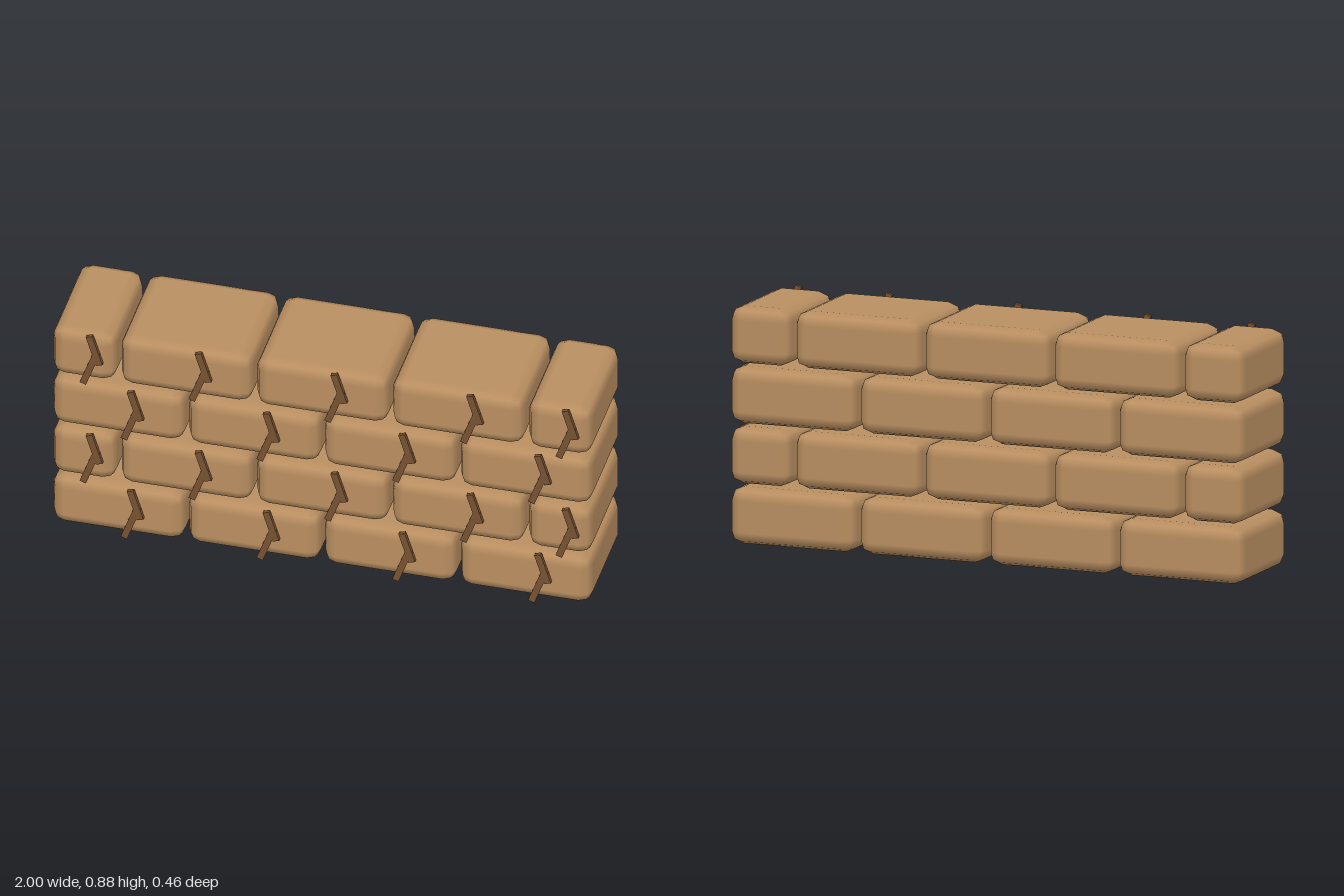
import * as THREE from 'three';
import { RoundedBoxGeometry } from 'three/addons/geometries/RoundedBoxGeometry.js';

export function createModel() {
  const model = new THREE.Group();
  model.name = 'brickWall';

  const clay = new THREE.MeshStandardMaterial({ color: 0xba8f61 });
  clay.name = 'tan clay';
  const dark = new THREE.MeshStandardMaterial({ color: 0x785231 });
  dark.name = 'dark brown';

  const H = 0.209, D = 0.44, PITCH = 0.503, ROW = 0.22;
  const fullBrick = new RoundedBoxGeometry(0.49, H, D, 1, 0.047);
  const halfBrick = new RoundedBoxGeometry(0.237, H, D, 1, 0.047);

  // One straight crack strip between two points on the brick face
  function strip(x0, y0, x1, y1) {
    const dx = x1 - x0, dy = y1 - y0;
    const mesh = new THREE.Mesh(new THREE.BoxGeometry(0.025, Math.hypot(dx, dy), 0.015), dark);
    mesh.position.set((x0 + x1) / 2, (y0 + y1) / 2, 0);
    mesh.rotation.z = -Math.atan2(dx, dy);
    mesh.name = 'crackStrip';
    return mesh;
  }

  // Forked crack, placed right of the brick's middle
  const crack = new THREE.Group();
  crack.name = 'crack';
  crack.add(strip(0.091, -0.015, 0.053, 0.105), strip(0.030, -0.106, 0.080, 0.032));

  function addBrick(x, y, half) {
    const brick = new THREE.Group();
    brick.name = half ? 'halfBrick' : 'brick';
    const body = new THREE.Mesh(half ? halfBrick : fullBrick, clay);
    body.name = 'brickBody';
    body.position.z = -0.0065;
    const mark = crack.clone();
    mark.position.set(half ? -0.025 : 0, 0, 0.2215);
    brick.add(body, mark);
    brick.position.set(x, y, 0);
    model.add(brick);
  }

  // Four courses; every second one is offset with half bricks at its ends
  for (let r = 0; r < 4; r++) {
    const y = 0.111 + r * ROW;
    if (r % 2 === 0) {
      for (let i = 0; i < 4; i++) addBrick((i - 1.5) * PITCH, y, false);
    } else {
      for (let i = -1; i <= 1; i++) addBrick(i * PITCH, y, false);
      for (const s of [-1, 1]) addBrick(s * 0.8815, y, true);
    }
  }
  return model;
}
